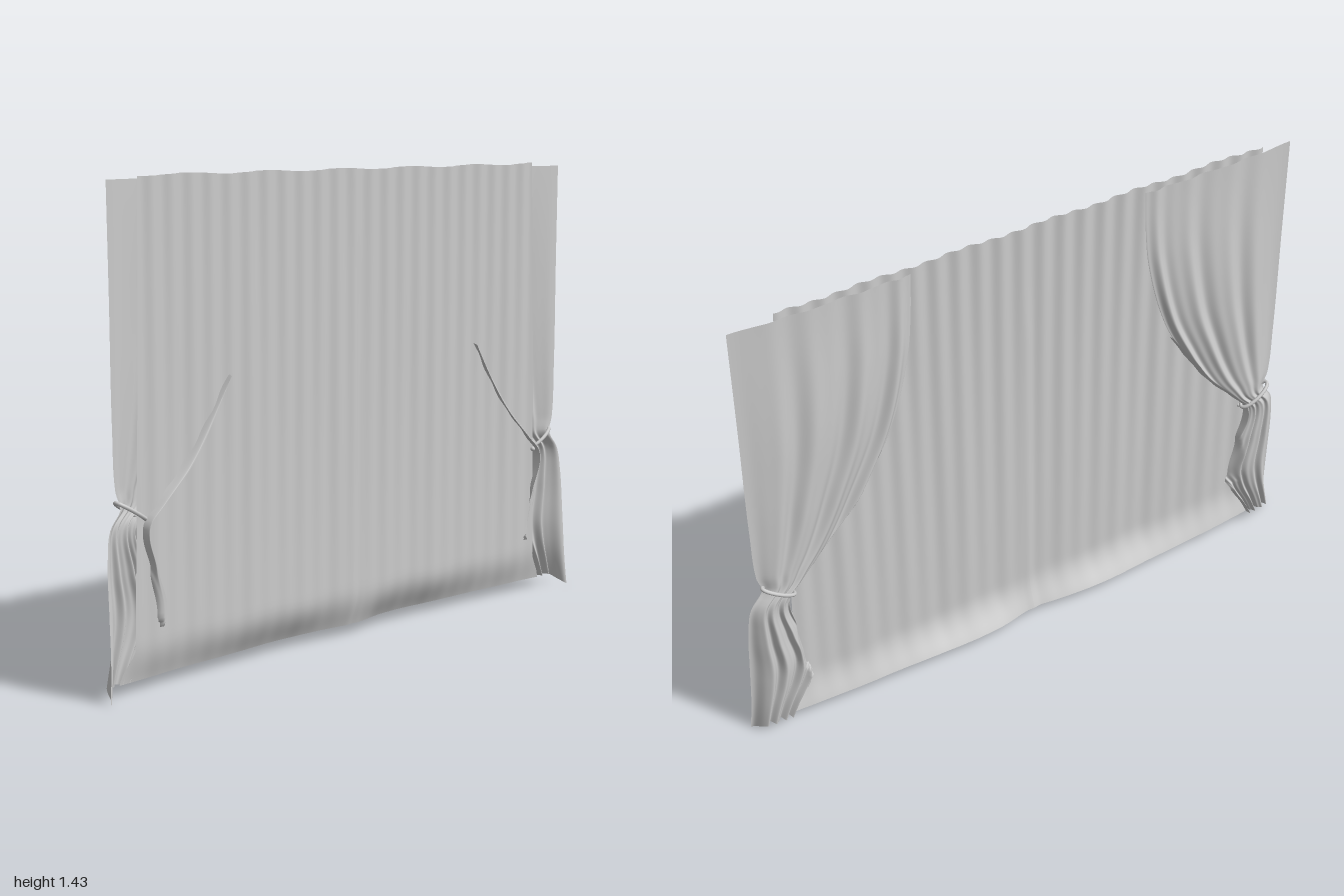
import * as THREE from 'three';

const material = new THREE.MeshStandardMaterial({ color: 0xcccccc, side: THREE.DoubleSide });
const { lerp, smoothstep } = THREE.MathUtils;

// Smooth curve through [position, value] pairs
function profile(pairs) {
  const curve = new THREE.CubicInterpolant(pairs.map(p => p[0]), pairs.map(p => p[1]), 1);
  return t => curve.evaluate(t)[0];
}

// Cloth surface from a rule (u, v) -> [x, y, z]
function cloth(name, nu, nv, rule) {
  const positions = [], index = [];
  for (let j = 0; j <= nv; j++) {
    for (let i = 0; i <= nu; i++) positions.push(...rule(i / nu, j / nv));
  }
  for (let j = 0; j < nv; j++) {
    for (let i = 0; i < nu; i++) {
      const a = j * (nu + 1) + i, b = a + 1, c = a + nu + 1, d = c + 1;
      index.push(a, c, b, b, c, d);
    }
  }
  const geometry = new THREE.BufferGeometry();
  geometry.setAttribute('position', new THREE.Float32BufferAttribute(positions, 3));
  geometry.setIndex(index);
  geometry.computeVertexNormals();
  const mesh = new THREE.Mesh(geometry, material);
  mesh.name = name;
  return mesh;
}

// Hem of the flat panels: how far it kicks out along z
const hemX = profile([[-0.95, 0.0], [-0.75, -0.018], [-0.5, -0.033], [-0.15, -0.046], [0, -0.018],
  [0.08, -0.03], [0.25, -0.046], [0.5, -0.034], [0.75, -0.02], [0.95, 0.0]]);

// Flat panel: fine ripples at the top, broad soft folds below, flared hem
function panel(side) {
  return cloth(side > 0 ? 'frontSheetPanel' : 'backSheetPanel', 120, 50, (u, v) => {
    const t = 1 - (1 - v) ** 1.6;                       // rows crowd toward the hem
    const y0 = lerp(1.43, 0.037, t);
    const edge = (side > 0 ? 0.855 : 0.815) + 0.03 * t + 0.045 * smoothstep(t, 0.93, 1);
    const z = side * u * edge;
    const ripple = 0.005 * Math.sin(z * 88) * (1 - 0.75 * t);
    const folds = 0.004 * Math.sin(z * 24 + 0.8) * Math.sin(z * 9 + 1) * smoothstep(t, 0, 0.6);
    const flare = smoothstep(y0, 0, 0.17);
    const x = 0.019 + ripple + folds - 0.004 * smoothstep(t, 0.2, 0.8);
    const seam = -0.004 * (1 - smoothstep(u, 0, 0.03)) * smoothstep(t, 0.1, 0.3);
    const y = y0 + 0.003 * Math.sin(z * 21) * flare;
    return [lerp(x, hemX(z), (1 - flare) ** 1.5) + seam, y, z];
  });
}

// Drape outline by height: outer and inner edge, and the strip rolled through the sheet
const outerZ = profile([[0, 0.998], [0.12, 0.988], [0.25, 0.985], [0.4, 0.98], [0.48, 0.965], [0.53, 0.928],
  [0.58, 0.942], [0.75, 0.95], [1.1, 0.953], [1.42, 0.957]]);
const innerZ = profile([[0, 0.89], [0.08, 0.85], [0.17, 0.80], [0.23, 0.78], [0.35, 0.815], [0.48, 0.842],
  [0.53, 0.79], [0.63, 0.685], [0.82, 0.555], [0.95, 0.485], [1.17, 0.42], [1.3, 0.405], [1.42, 0.40]]);
const strip = profile([[0, 0], [0.17, 0], [0.22, 0.03], [0.38, 0.008], [0.48, 0.006], [0.55, 0.014],
  [0.7, 0.014], [0.88, 0], [1.42, 0]]);

// Gathered drape: folds fan out from the tie
function drape(side) {
  return cloth('tiedDrape', 90, 110, (u, v) => {
    const y0 = lerp(1.42, 0.02, v);
    const outer = outerZ(y0), inner = innerZ(y0);
    const z = lerp(outer, inner, 1 - (1 - u) ** 1.4);
    const fromTie = Math.abs(y0 - 0.53);
    const above = y0 > 0.53;
    const open = smoothstep(fromTie, 0, 0.25);
    const fade = above ? 1 - 0.6 * smoothstep(y0, 1.0, 1.42) : 1;
    const amplitude = (0.004 + 0.006 * open) * fade;
    const folds = amplitude * (Math.sin(u * 25 + 0.6 + y0) + 0.4 * Math.sin(u * 47 + 2 * y0));
    let x = -0.011 + folds;
    x += 0.009 * smoothstep(y0, 0.95, 1.42);
    // inner edge rolls through the sheet
    const w = strip(y0);
    if (w > 0.001) x = lerp(x, 0.032 + 0.01 * (1 - smoothstep(fromTie, 0.03, 0.3)),
      1 - smoothstep(z - inner, 0.3 * w, 1.8 * w));
    // outer edge turns back, most of all at the foot
    const turn = (1 - smoothstep(u, 0, 0.28)) ** 1.5;
    const reach = above ? 0.012 : lerp(0.045, 0.015, Math.min(1, y0 / 0.5));
    x = lerp(x, reach, turn);
    const y = y0 + (1 - smoothstep(y0, 0.02, 0.2)) * (0.018 - 0.033 * turn);
    return [x, Math.max(0, y), side * z];
  });
}

// Tilted cord around the gathered cloth, with a small knot
function tie(side) {
  const group = new THREE.Group();
  group.name = 'tieBack';
  const points = [];
  for (let i = 0; i < 24; i++) {
    const a = i / 24 * Math.PI * 2;
    points.push(new THREE.Vector3(0.002 + 0.023 * Math.sin(a), 0.518 + 0.03 * Math.cos(a),
      side * (0.882 + 0.05 * Math.cos(a))));
  }
  const cord = new THREE.Mesh(
    new THREE.TubeGeometry(new THREE.CatmullRomCurve3(points, true), 60, 0.006, 8, true), material);
  cord.name = 'tieCord';
  const knot = new THREE.Mesh(new THREE.SphereGeometry(0.008, 12, 8), material);
  knot.name = 'tieKnot';
  knot.position.set(0.02, 0.486, side * 0.833);
  group.add(cord, knot);
  return group;
}

export function createModel() {
  const model = new THREE.Group();
  model.name = 'curtain';
  for (const side of [1, -1]) model.add(panel(side), drape(side), tie(side));
  return model;
}
